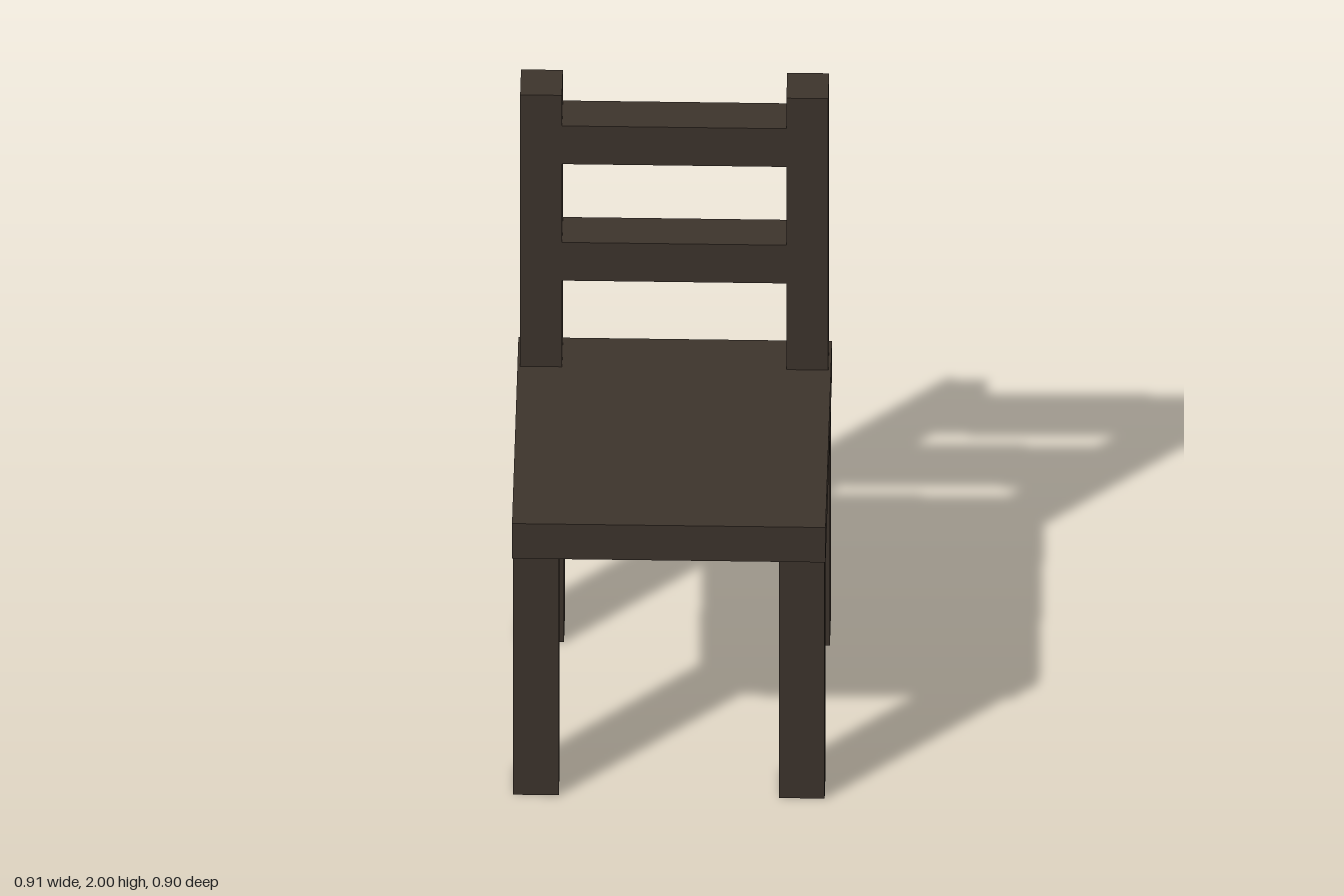
import * as THREE from 'three';

export function createModel() {
  const chair = new THREE.Group();
  chair.name = 'chair';

  const darkWood = new THREE.MeshStandardMaterial({ color: 0x3d342c });
  darkWood.name = 'darkWood';

  // Box beam given by its extents along each axis
  function beam(name, [x0, x1], [y0, y1], [z0, z1]) {
    const mesh = new THREE.Mesh(new THREE.BoxGeometry(x1 - x0, y1 - y0, z1 - z0), darkWood);
    mesh.position.set((x0 + x1) / 2, (y0 + y1) / 2, (z0 + z1) / 2);
    mesh.name = name;
    chair.add(mesh);
  }

  const seatBottom = 0.877, seatTop = 1.005;
  const postDepth = [-0.43, -0.308];

  beam('seat', [-0.457, 0.457], [seatBottom, seatTop], [-0.448, 0.448]);

  // Legs and back posts, mirrored left and right
  for (const [side, label] of [[1, 'Left'], [-1, 'Right']]) {
    const span = (inner, outer) => (side > 0 ? [inner, outer] : [-outer, -inner]);
    beam('front' + label + 'Leg', span(0.321, 0.454), [0, seatBottom], [0.303, 0.433]);
    beam('back' + label + 'Leg', span(0.321, 0.454), [0, seatBottom], [-0.433, -0.303]);
    beam('back' + label + 'Post', span(0.327, 0.449), [seatTop, 2], postDepth);
  }

  // Horizontal back slats, flush with the posts
  beam('lowerSlat', [-0.327, 0.327], [1.321, 1.461], postDepth);
  beam('upperSlat', [-0.327, 0.327], [1.748, 1.888], postDepth);

  return chair;
}
